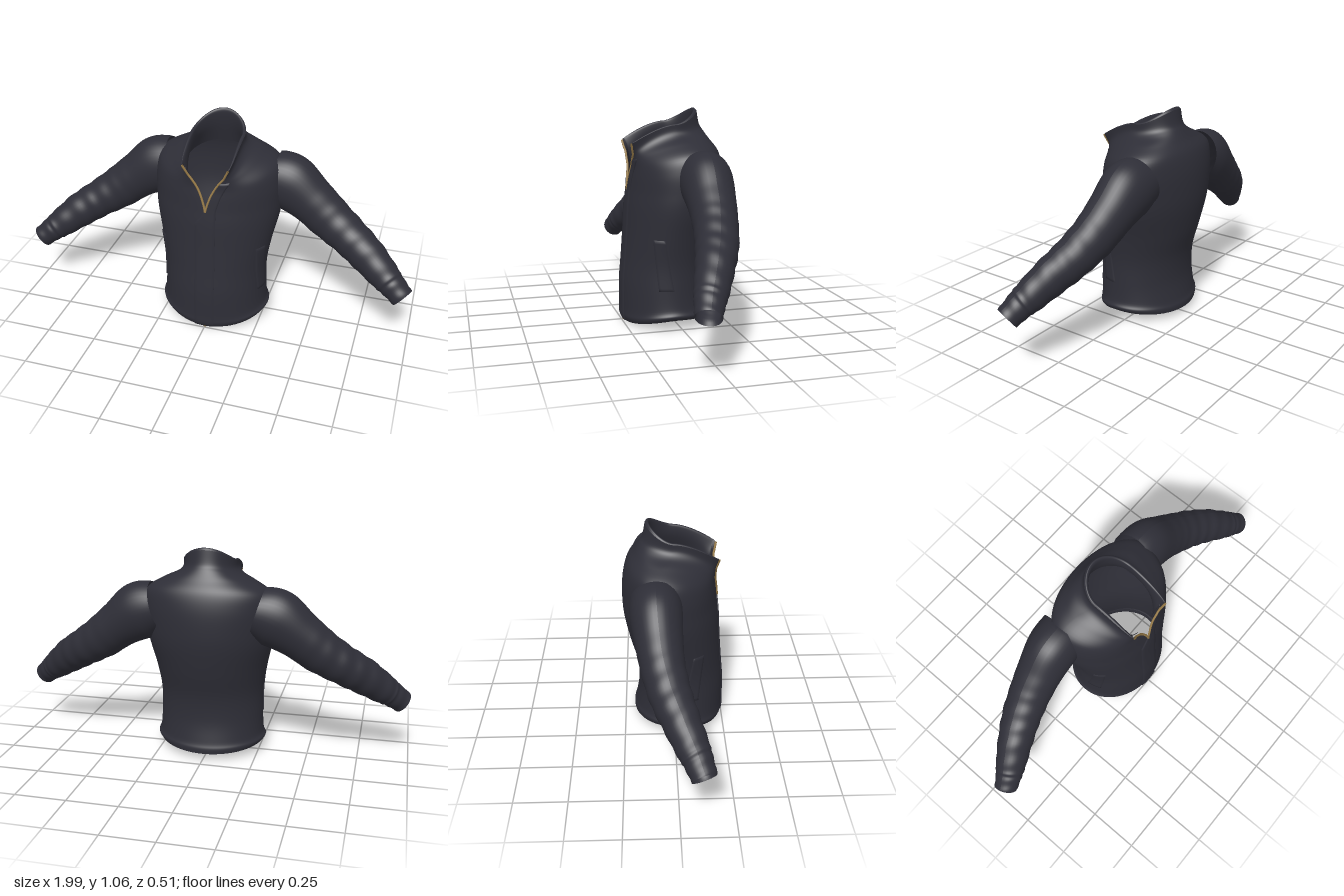
import * as THREE from 'three';

const fabric = new THREE.MeshStandardMaterial({ color: 0x2e2e37, side: THREE.DoubleSide });
fabric.name = 'dark fabric';
const brass = new THREE.MeshStandardMaterial({ color: 0x9a7d4a, side: THREE.DoubleSide });
brass.name = 'brass zip';

// Horizontal sections: [yFront, ySide, yBack, halfWidth, zFront, zBack, zSide, halfOpening]
const BODY = [
  [.005, .055, .035, .268, .240, -.200, .03, 0],
  [.030, .075, .060, .280, .250, -.200, .03, 0],
  [.070, .105, .095, .268, .250, -.190, .03, 0],
  [.20, .20, .20, .262, .250, -.175, .03, 0],
  [.32, .32, .32, .262, .240, -.183, .03, 0],
  [.45, .45, .45, .282, .230, -.218, .02, 0],
  [.58, .58, .58, .310, .223, -.245, -.01, 0],
  [.66, .67, .68, .320, .215, -.252, -.03, 0],
  [.73, .77, .78, .322, .207, -.247, -.05, .018],
  [.78, .85, .86, .300, .200, -.227, -.065, .04],
  [.82, .90, .915, .220, .200, -.190, -.05, .065],
  [.845, .925, .955, .160, .200, -.165, -.02, .085],
  [.865, .95, .985, .135, .205, -.148, 0, .095],
  [.900, .985, 1.05, .132, .213, -.135, 0, .112],
];
const COLLAR_FACING = [
  BODY[13],
  [.905, .990, 1.06, .124, .208, -.124, 0, .111],
  [.895, .980, 1.04, .115, .200, -.115, 0, .106],
  [.85, .93, .97, .118, .190, -.125, 0, .085],
  [.78, .85, .88, .150, .185, -.150, 0, .040],
];
const HEM_FACING = [
  [.080, .115, .100, .256, .238, -.180, .03, 0],
  [.020, .070, .050, .256, .230, -.188, .03, 0],
  BODY[0],
];

// Smooth interpolation through a list of number rows
function sample(rows, v) {
  const i = Math.min(Math.floor(v), rows.length - 2), f = v - i;
  const at = k => rows[Math.max(0, Math.min(rows.length - 1, k))];
  return rows[0].map((_, c) => {
    const [a, b, d, e] = [at(i - 1)[c], at(i)[c], at(i + 1)[c], at(i + 2)[c]];
    return b + .5 * f * (d - a + f * (2 * a - 5 * b + 4 * d - e + f * (3 * (b - d) + e - a)));
  });
}

// Point on a section; t runs from 0 (front edge) to PI (back), side is +1 or -1
function sectionPoint(rows, v, t, side, off = 0) {
  let [yF, yS, yB, hw, zF, zB, zS, gap] = sample(rows, v);
  gap = Math.max(0, gap);
  hw += off; zF += off; zB -= off;
  const c = Math.cos(t), s = Math.sin(t), front = c > 0;
  const k = Math.pow(Math.abs(c), 1.6);
  return new THREE.Vector3(
    side * (front ? gap + (hw - gap) * s : hw * s),
    yS + ((front ? yF : yB) - yS) * k,
    zS + (front ? zF - zS : zS - zB) * c);
}

// Grid surface from a function of u and v
function grid(nu, nv, f) {
  const pos = [], idx = [], n = nu + 1;
  for (let j = 0; j <= nv; j++)
    for (let i = 0; i <= nu; i++) pos.push(...f(i / nu, j / nv).toArray());
  for (let j = 0; j < nv; j++)
    for (let i = 0; i < nu; i++) {
      const a = j * n + i;
      idx.push(a, a + 1, a + n, a + 1, a + n + 1, a + n);
    }
  const g = new THREE.BufferGeometry();
  g.setAttribute('position', new THREE.Float32BufferAttribute(pos, 3));
  g.setIndex(idx);
  g.computeVertexNormals();
  return g;
}

const shell = (rows, nv) => grid(96, nv, (u, v) => {
  const a = u * Math.PI * 2, right = u > .5;
  return sectionPoint(rows, v * (rows.length - 1), right ? Math.PI * 2 - a : a, right ? -1 : 1);
});

// Section index at a given front height
function levelAt(y) {
  let lo = 0, hi = BODY.length - 1;
  for (let i = 0; i < 30; i++) {
    const m = (lo + hi) / 2;
    if (sample(BODY, m)[0] < y) lo = m; else hi = m;
  }
  return lo;
}

// Raised strip lying on the body; range(y) gives its two edges as angles
function strip(y0, y1, range, off, nv = 40) {
  const nu = 8;
  return grid(nu, nv + 2, (u, w) => {
    const row = Math.round(w * (nv + 2)), col = Math.round(u * nu);
    const y = y0 + (y1 - y0) * Math.max(0, Math.min(1, (row - 1) / nv));
    const lv = levelAt(y), [a, b] = range(y, sample(BODY, lv));
    const t = a + (b - a) * Math.max(0, Math.min(1, (col - 1) / (nu - 2)));
    const rim = row === 0 || row === nv + 2 || col === 0 || col === nu;
    return sectionPoint(BODY, lv, Math.abs(t), t < 0 ? -1 : 1, rim ? -.002 : off);
  });
}

// Sleeve sections: [x, y, z, radius across, radius in depth]
const SLEEVE = [
  [.25, .755, -.09, .125, .120], [.34, .725, -.088, .145, .122],
  [.45, .65, -.078, .120, .110], [.55, .572, -.062, .110, .101],
  [.66, .50, -.032, .097, .095], [.76, .435, .010, .090, .085],
  [.86, .36, .058, .074, .074], [.90, .33, .077, .064, .066],
  [.955, .285, .100, .056, .057],
];
function sleevePoint(u, s, scale = 1) {
  const end = SLEEVE.length - 1, v = s * end;
  const [x, y, z, r, rz] = sample(SLEEVE, v);
  const p = sample(SLEEVE, Math.max(0, v - .1)), q = sample(SLEEVE, Math.min(end, v + .1));
  const axis = new THREE.Vector3(q[0] - p[0], q[1] - p[1], q[2] - p[2]).normalize();
  const up = new THREE.Vector3(-axis.y, axis.x, 0).normalize();
  const fore = new THREE.Vector3().crossVectors(axis, up);
  const a = u * Math.PI * 2;
  // soft creases from the elbow to the wrist
  const crease = 1 + .022 * Math.sin(v * 9 + Math.sin(a) * 1.5) * Math.min(1, Math.max(0, (v - 2) / 2));
  return new THREE.Vector3(x, y, z)
    .addScaledVector(up, Math.cos(a) * r * crease * scale)
    .addScaledVector(fore, Math.sin(a) * rz * crease * scale);
}

export function createModel() {
  const model = new THREE.Group();
  model.name = 'jacket';
  const add = (name, geo, mat = fabric, parent = model) => {
    const m = new THREE.Mesh(geo, mat);
    m.name = name;
    parent.add(m);
    return m;
  };

  add('bodyAndCollar', shell(BODY, 78));
  add('collarFacing', shell(COLLAR_FACING, 24));
  add('hemFacing', shell(HEM_FACING, 12));

  // Front flap over the zip, following the left edge of the neck opening
  const angle = (x, r) => {
    const gap = Math.max(0, r[7]);
    return Math.asin(Math.max(-1, Math.min(1, x / (r[3] - gap))));
  };
  add('frontPlacket', strip(.008, .82, (y, r) => [
    angle(-.05 * Math.max(0, Math.min(1, (.67 - y) / .07)), r),
    angle(.05, r)], .005, 70));

  // Zip teeth: along both edges of the opening and down behind the flap
  for (const side of [1, -1]) {
    const pts = [];
    for (let i = 0; i <= 24; i++)
      pts.push(sectionPoint(BODY, levelAt(.665 + .233 * i / 24), 0, side, .003));
    add(side > 0 ? 'leftZipEdge' : 'rightZipEdge',
      new THREE.TubeGeometry(new THREE.CatmullRomCurve3(pts), 60, .0055, 6), brass);
  }
  const inner = [];
  for (let i = 0; i <= 20; i++)
    inner.push(sectionPoint(BODY, levelAt(.008 + .66 * i / 20), 0, 1, -.013));
  add('innerZip', new THREE.TubeGeometry(new THREE.CatmullRomCurve3(inner), 60, .008, 6), brass);
  add('zipEnd', new THREE.BoxGeometry(.012, .02, .01), brass).position.set(0, .011, .238);

  // Sleeves and pocket welts, mirrored
  for (const side of [1, -1]) {
    const half = new THREE.Group();
    half.name = side > 0 ? 'leftSide' : 'rightSide';
    half.scale.x = side;
    model.add(half);
    add('sleeve', grid(40, 80, (u, s) => sleevePoint(u, s)), fabric, half);
    add('cuffFacing', grid(40, 6, (u, w) =>
      sleevePoint(u, 1 - .18 * w, w === 0 ? 1 : .88)), fabric, half);
    add('pocketWelt', strip(.2, .45, (y, r) => {
      const k = (y - .2) / .25, toAngle = z => Math.acos((z - r[6]) / (r[4] - r[6]));
      return [toAngle(.115 + .025 * k), toAngle(.045 + .045 * k)];
    }, .005, 16), fabric, half);
  }
  return model;
}
